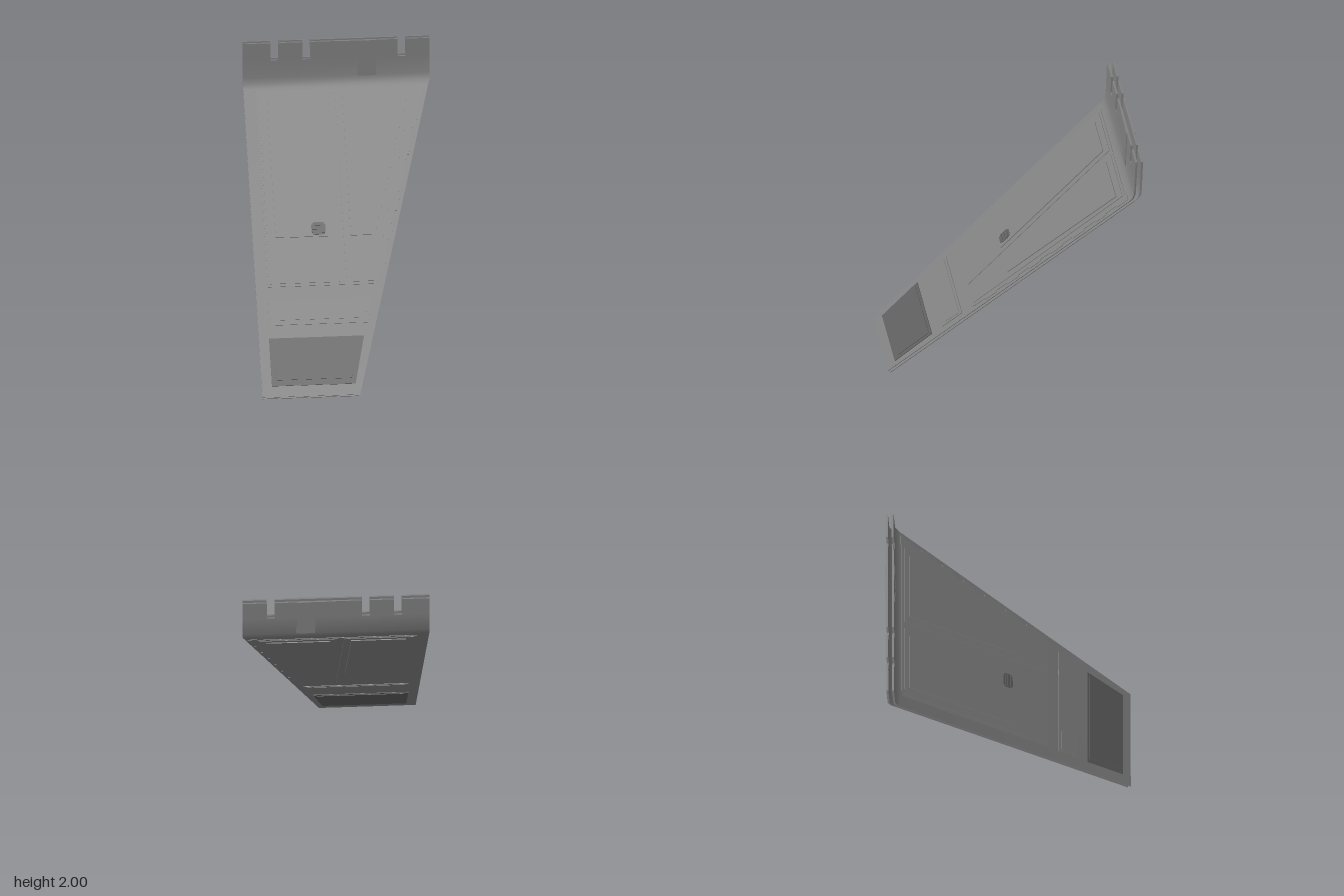
import * as THREE from 'three';
import { toCreasedNormals } from 'three/addons/utils/BufferGeometryUtils.js';

const LEFT = -0.66;
const edge = (y) => Math.min(0.655, 0.02 + 0.373 * y); // tapering side of the sheets

// Surfaces the plates lie on: z for a height y, and the outward normal
const slope = { z: (y) => 0.88 - 0.982 * y, ny: 0.7, nz: 0.713 };
const wall = { z: (y) => -0.795 - (y - 1.74) * 0.038, ny: 0, nz: 1 };

// Flat outline in x, y, raised from depth d0 to d1 along the surface normal
function plate(points, surface, d0, d1) {
  const shape = new THREE.Shape(points.map(([x, y]) => new THREE.Vector2(x, y)));
  const geo = new THREE.ExtrudeGeometry(shape, { depth: d1 - d0, bevelEnabled: false });
  const p = geo.attributes.position;
  for (let i = 0; i < p.count; i++) {
    const y = p.getY(i), d = p.getZ(i) + d0;
    p.setXYZ(i, p.getX(i), y + d * surface.ny, surface.z(y) + d * surface.nz);
  }
  geo.computeVertexNormals();
  return geo;
}

// Bent sheet: a side profile of [y, z] points swept across x, cut to the taper
function bentSheet(profile) {
  const shape = new THREE.Shape(profile.map(([y, z]) => new THREE.Vector2(-z, y)));
  const geo = new THREE.ExtrudeGeometry(shape, { depth: 1, bevelEnabled: false });
  geo.rotateY(Math.PI / 2);
  const p = geo.attributes.position;
  for (let i = 0; i < p.count; i++) {
    p.setX(i, p.getX(i) > 0.5 ? edge(p.getY(i)) : LEFT);
  }
  geo.computeVertexNormals();
  return toCreasedNormals(geo, 0.6);
}

const rect = (x0, x1, y0, y1) => [[x0, y0], [x1, y0], [x1, y1], [x0, y1]];

// Quad with an upright left side and a right side leaning with the taper
const leaning = (x0, y0, y1, r0, r1) => [[x0, y0], [r0, y0], [r1, y1], [x0, y1]];

export function createModel() {
  const model = new THREE.Group();
  const grey = new THREE.MeshStandardMaterial({ color: 0x808080 });
  grey.name = 'hull grey';
  const dark = new THREE.MeshStandardMaterial({ color: 0x5e5e5e });
  dark.name = 'dark grey';

  const add = (parent, name, geo, mat = grey) => {
    const mesh = new THREE.Mesh(geo, mat);
    mesh.name = name;
    parent.add(mesh);
  };

  // Stepped rail running along the tapering edge
  const rail = [[0.195, 0.62]];
  const steps = 14;
  for (let i = 0; i < steps; i++) {
    const y0 = 0.62 + (1.05 * i) / steps, y1 = 0.62 + (1.05 * (i + 1)) / steps;
    const inset = i % 2 ? 0.026 : 0.042;
    rail.push([edge(y0) - inset, y0], [edge(y1) - inset, y1]);
  }
  rail.push([0.55, 1.67]);

  // Raised plates on the slope: name, outline, lower and upper height, material
  const slopePlates = [
    ['panelBase', leaning(-0.575, 0.61, 1.66, 0.195, 0.55), 0, 0.004],
    ['edgeRail', rail, 0, 0.004],
    ['leftPanel', rect(-0.56, -0.065, 0.625, 1.645), 0.004, 0.008],
    ['rightPanel', leaning(-0.02, 0.625, 1.645, 0.175, 0.535), 0.004, 0.008],
    ['leftInnerPanel', rect(-0.5, -0.115, 0.87, 1.61), 0.008, 0.014],
    ['rightInnerPanel', leaning(0.03, 0.87, 1.61, 0.2, 0.485), 0.008, 0.014],
    ['narrowPanel', leaning(-0.58, 0.405, 0.54, 0.11, 0.16), 0, 0.005],
    ['narrowInnerPanel', leaning(-0.565, 0.43, 0.525, 0.09, 0.135), 0.005, 0.008],
    ['darkPanel', leaning(-0.59, 0.08, 0.335, 0, 0.08), 0, 0.005, dark],
    ['darkInnerPanel', leaning(-0.56, 0.11, 0.32, -0.025, 0.05), 0.005, 0.009, dark],
  ];

  // Raised plates on the upright wall
  const wallPlates = [
    ['chamferedPlate', [[0, 2], [0.145, 1.87], [0.145, 1.735], [0.2, 1.735], [0.2, 2]], 0, 0.003],
    ['wallStrip', rect(0.2, 0.275, 1.735, 2), 0, 0.006],
  ];

  const tabs = [[LEFT, -0.465], [-0.41, -0.24], [-0.185, 0.43], [0.485, 0.655]];

  const sides = [
    {
      name: 'frontSheet', out: 1, slopeAt: 0, wallAt: 0,
      profile: [
        [0.022, 0.858], [1.67, -0.76], [1.7, -0.783], [1.74, -0.795], [1.87, -0.8],
        [1.87, -0.814], [1.735, -0.807], [1.695, -0.79], [1.665, -0.763], [0.019, 0.855],
      ],
    },
    {
      name: 'backSheet', out: -1, slopeAt: -0.03, wallAt: -0.054,
      profile: [
        [0.004, 0.8394], [1.67, -0.796], [1.7, -0.822], [1.74, -0.835], [1.87, -0.84],
        [1.87, -0.854], [1.735, -0.848], [1.695, -0.828], [1.665, -0.797], [0, 0.837],
      ],
    },
  ];

  for (const side of sides) {
    const group = new THREE.Group();
    group.name = side.name;
    model.add(group);
    add(group, 'bentSheet', bentSheet(side.profile));

    // Tabs between the slots of the upper edge
    for (const [x0, x1] of tabs) {
      const inner = side.wallAt - side.out * 0.014;
      add(group, 'wallTab', plate(rect(x0, x1, 1.87, 2), wall,
        Math.min(inner, side.wallAt), Math.max(inner, side.wallAt)));
    }

    const addPlates = (list, surface, start) => {
      for (const [name, points, low, high, mat] of list) {
        const a = start + side.out * low, b = start + side.out * high;
        add(group, name, plate(points, surface, Math.min(a, b), Math.max(a, b)), mat);
      }
    };
    addPlates(slopePlates, slope, side.slopeAt);
    addPlates(wallPlates, wall, side.wallAt);
  }

  // Slatted vent on the front left inner panel
  const vent = new THREE.Group();
  vent.name = 'vent';
  model.add(vent);
  add(vent, 'ventPlate', plate([
    [-0.23, 0.878], [-0.16, 0.878], [-0.145, 0.895], [-0.145, 0.93],
    [-0.16, 0.945], [-0.23, 0.945], [-0.245, 0.93], [-0.245, 0.895],
  ], slope, 0.014, 0.017), dark);
  for (let i = 0; i < 3; i++) {
    const y = 0.889 + i * 0.018;
    add(vent, 'ventSlat', plate(rect(-0.24, -0.15, y, y + 0.009), slope, 0.017, 0.021), dark);
  }

  return model;
}
